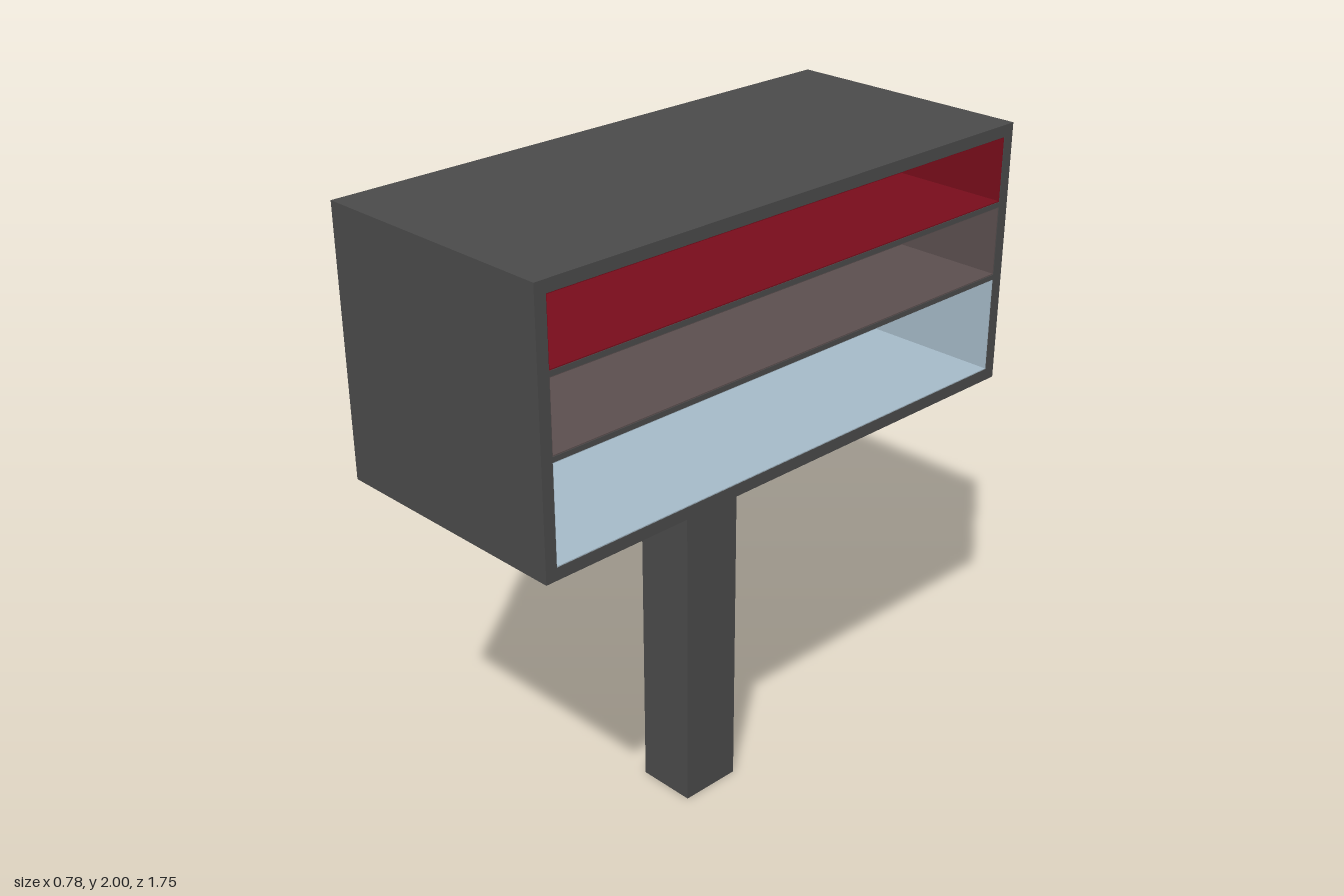
import * as THREE from 'three';

const mat = (color) => new THREE.MeshStandardMaterial({ color });

export function createModel() {
  const model = new THREE.Group();
  const dark = mat(0x4a4a4a);

  // Box given by its lower and upper corners
  const block = (name, material, [x0, y0, z0], [x1, y1, z1], parent = model) => {
    const mesh = new THREE.Mesh(new THREE.BoxGeometry(x1 - x0, y1 - y0, z1 - z0), material);
    mesh.position.set((x0 + x1) / 2, (y0 + y1) / 2, (z0 + z1) / 2);
    mesh.name = name;
    parent.add(mesh);
    return mesh;
  };

  // Outer cabinet extents and wall thickness
  const X = 0.39, Z = 0.875, bottom = 1.22, top = 2, wall = 0.035;
  const inX = -X + wall, inZ = Z - wall;

  // Supporting post
  block('post', dark, [-0.11, 0, -0.1], [0.08, bottom, 0.1]);

  // Cabinet shell, open towards +x
  const cabinet = new THREE.Group();
  cabinet.name = 'cabinet';
  model.add(cabinet);
  block('roof', dark, [-X, top - wall, -Z], [X, top, Z], cabinet);
  block('floor', dark, [-X, bottom, -Z], [X, bottom + wall, Z], cabinet);
  block('backWall', dark, [-X, bottom + wall, -Z], [inX, top - wall, Z], cabinet);
  for (const s of [-1, 1]) {
    const [a, b] = s > 0 ? [inZ, Z] : [-Z, -inZ];
    block('endWall', dark, [inX, bottom + wall, a], [X, top - wall, b], cabinet);
  }

  // Shelves between the compartments
  for (const [y0, y1] of [[1.54, 1.555], [1.76, 1.775]])
    block('shelf', dark, [inX, y0, -inZ], [X, y1, inZ], cabinet);

  // Coloured compartments: thin lining panels and two brackets on the back
  const compartments = [
    ['lowerCompartment', 0xa5bac8, bottom + wall, 1.54, 1.39],
    ['middleCompartment', 0x5c4f4f, 1.555, 1.76, 1.69],
    ['upperCompartment', 0x780d1b, 1.775, top - wall, 1.91],
  ];
  const t = 0.003, front = X - 0.002;
  for (const [name, color, y0, y1, bracketTop] of compartments) {
    const group = new THREE.Group();
    group.name = name;
    model.add(group);
    const lining = mat(color);
    block('backLining', lining, [inX, y0, -inZ], [inX + t, y1, inZ], group);
    block('floorLining', lining, [inX + t, y0, -inZ], [front, y0 + t, inZ], group);
    block('ceilingLining', lining, [inX + t, y1 - t, -inZ], [front, y1, inZ], group);
    for (const s of [-1, 1]) {
      const span = (a, b) => (s > 0 ? [a, b] : [-b, -a]);
      const [e0, e1] = span(inZ - t, inZ);
      block('endLining', lining, [inX + t, y0 + t, e0], [front, y1 - t, e1], group);
      const [b0, b1] = span(0.69, 0.78);
      block('bracket', dark, [inX + t, y0, b0], [inX + 0.02, bracketTop, b1], group);
    }
  }
  return model;
}
